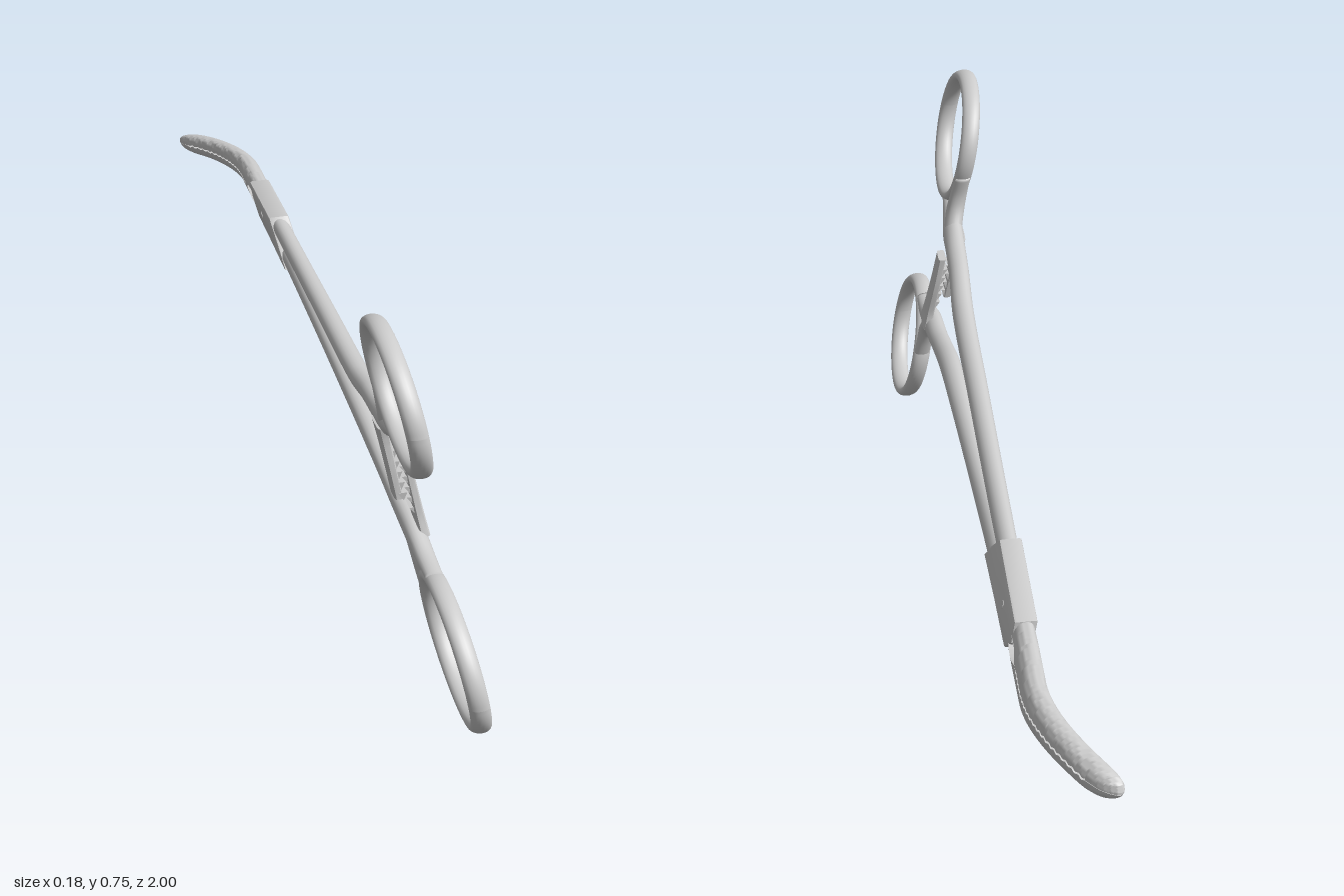
import * as THREE from 'three';
import { toCreasedNormals } from 'three/addons/utils/BufferGeometryUtils.js';

const steel = new THREE.MeshStandardMaterial({ color: 0xcccccc, roughness: 0.5, metalness: 0.1 });

// Everything is laid out flat in the z/y plane, then leaned over and curved at the tip.
function lean(geometry) {
  const p = geometry.attributes.position;
  for (let i = 0; i < p.count; i++) {
    const y = p.getY(i), z = p.getZ(i);
    const curve = 1.31 * Math.pow(Math.max(0, -0.74 - z), 1.83);
    p.setX(i, p.getX(i) + 0.073 - 0.2 * y - 0.018 * (z - 0.8) - curve);
  }
  geometry.computeVertexNormals();
  return geometry;
}

function add(parent, name, geometry, crease) {
  let g = lean(geometry);
  if (crease) g = toCreasedNormals(g, crease);
  const mesh = new THREE.Mesh(g, steel);
  mesh.name = name;
  parent.add(mesh);
  return mesh;
}

// Sweeps a superellipse along stations [z, y, half height, half thickness].
// trim(offset, z) may reshape the section in the plane of the tool.
function sweep(stations, { steps = 60, sides = 20, power = 2, closed = false, shift = 0, trim = (v) => v } = {}) {
  const path = new THREE.CatmullRomCurve3(stations.map((s) => new THREE.Vector3(0, s[1], s[0])), closed);
  const size = new THREE.CatmullRomCurve3(stations.map((s) => new THREE.Vector3(s[2], s[3], 0)), closed, 'catmullrom', 0.5);
  const pos = [], index = [];
  const rounded = (v) => Math.sign(v) * Math.pow(Math.abs(v), 2 / power);
  for (let i = 0; i <= steps; i++) {
    const c = path.getPoint(i / steps), t = path.getTangent(i / steps), s = size.getPoint(i / steps);
    for (let j = 0; j < sides; j++) {
      const a = (j / sides) * Math.PI * 2;
      const v = trim(s.x * rounded(Math.cos(a)), c.z);
      pos.push(shift + s.y * rounded(Math.sin(a)), c.y + t.z * v, c.z - t.y * v);
    }
  }
  for (let i = 0; i < steps; i++) {
    for (let j = 0; j < sides; j++) {
      const k = (j + 1) % sides, a = i * sides, b = a + sides;
      index.push(a + j, b + j, a + k, a + k, b + j, b + k);
    }
  }
  if (!closed) {
    const end = steps * sides;
    for (let j = 1; j < sides - 1; j++) index.push(0, j, j + 1, end, end + j + 1, end + j);
  }
  const g = new THREE.BufferGeometry();
  g.setAttribute('position', new THREE.Float32BufferAttribute(pos, 3));
  g.setIndex(index);
  return g;
}

// Stations of a tilted oval finger ring
function oval(z, y, a, b, tilt) {
  return Array.from({ length: 24 }, (_, i) => {
    const t = (i / 24) * Math.PI * 2, u = a * Math.cos(t), v = b * Math.sin(t);
    return [z + u * Math.cos(tilt) - v * Math.sin(tilt), y + u * Math.sin(tilt) + v * Math.cos(tilt), 0.0115, 0.0185];
  });
}

function ratchet(parent, name, stations, side, firstTooth) {
  add(parent, name + 'Bar', sweep(stations, { steps: 16, power: 5, shift: side * 0.014 }), 0.6);
  for (let i = 0; i < 5; i++) {
    const y = firstTooth + i * 0.02;
    const tooth = new THREE.CylinderGeometry(0.01, 0.01, 0.042, 3);
    tooth.rotateX(Math.PI / 2);
    tooth.translate(side * 0.007, y, 0.628 + (0.44 - y) * 0.15);
    add(parent, name + 'Tooth', tooth, 0.4);
  }
}

export function createModel() {
  const model = new THREE.Group();
  model.name = 'curvedLockingForceps';

  // Upper handle: finger ring, two webs and arm
  const upper = new THREE.Group();
  upper.name = 'upperHandle';
  add(upper, 'upperFingerRing', sweep(oval(0.79, 0.621, 0.147, 0.119, 0.1), { steps: 96, closed: true }));
  add(upper, 'upperArm', sweep([
    [0.74, 0.508, 0.009, 0.016], [0.69, 0.493, 0.015, 0.018], [0.635, 0.468, 0.024, 0.02], [0.57, 0.455, 0.019, 0.02],
    [0.5, 0.44, 0.018, 0.02], [0.38, 0.403, 0.019, 0.021], [0.1, 0.363, 0.018, 0.02],
    [-0.15, 0.328, 0.018, 0.019], [-0.36, 0.3, 0.018, 0.018], [-0.44, 0.29, 0.016, 0.016],
  ], { steps: 90 }));
  add(upper, 'upperWeb', sweep([
    [0.645, 0.585, 0.009, 0.016], [0.655, 0.54, 0.013, 0.018], [0.655, 0.505, 0.019, 0.019], [0.63, 0.462, 0.018, 0.018],
  ], { steps: 20 }));

  // Lower handle
  const lower = new THREE.Group();
  lower.name = 'lowerHandle';
  add(lower, 'lowerFingerRing', sweep(oval(0.843, 0.131, 0.146, 0.119, -0.06), { steps: 96, closed: true }));
  add(lower, 'lowerArm', sweep([
    [0.79, 0.247, 0.009, 0.016], [0.73, 0.245, 0.014, 0.018], [0.66, 0.253, 0.021, 0.02], [0.57, 0.259, 0.018, 0.02],
    [0.5, 0.267, 0.018, 0.02], [0.4, 0.277, 0.019, 0.021], [0.2, 0.274, 0.018, 0.02],
    [-0.02, 0.267, 0.018, 0.019], [-0.25, 0.26, 0.02, 0.019], [-0.42, 0.25, 0.02, 0.018],
  ], { steps: 90 }));
  add(lower, 'lowerWeb', sweep([
    [0.698, 0.155, 0.009, 0.016], [0.692, 0.195, 0.013, 0.018], [0.685, 0.225, 0.019, 0.019], [0.65, 0.256, 0.016, 0.018],
  ], { steps: 20 }));

  // Interlocking ratchet bars, side by side
  ratchet(upper, 'upperRatchet', [
    [0.626, 0.465, 0.03, 0.01], [0.63, 0.435, 0.025, 0.009], [0.637, 0.38, 0.024, 0.008], [0.643, 0.325, 0.022, 0.008],
  ], -1, 0.335);
  ratchet(lower, 'lowerRatchet', [
    [0.655, 0.255, 0.034, 0.01], [0.65, 0.29, 0.027, 0.009], [0.64, 0.35, 0.025, 0.008], [0.634, 0.415, 0.022, 0.008],
  ], 1, 0.305);

  // Flat-sided box joint with slanted ends; shape x becomes -z
  const outline = new THREE.Shape([
    [0.3, 0.243], [0.44, 0.233], [0.57, 0.221], [0.605, 0.25], [0.6, 0.283], [0.38, 0.315], [0.335, 0.278],
  ].map(([x, y]) => new THREE.Vector2(x, y)));
  const box = new THREE.ExtrudeGeometry(outline, {
    depth: 0.032, bevelEnabled: true, bevelSize: 0.004, bevelThickness: 0.005, bevelSegments: 2,
  });
  box.translate(0, 0, -0.016);
  box.rotateY(Math.PI / 2);
  add(model, 'boxJoint', box, 0.5);

  // Hinge pin, flush with both faces
  const pin = new THREE.CylinderGeometry(0.008, 0.008, 0.044, 16);
  pin.rotateZ(Math.PI / 2);
  pin.translate(0, 0.26, -0.5);
  add(model, 'hingePin', pin, 0.5);

  // Half-round jaws: one tapered body split along the middle, with an opening and serrations
  const jawBody = [
    [-0.54, 0.257, 0.034, 0.019], [-0.6, 0.25, 0.036, 0.021], [-0.68, 0.241, 0.034, 0.022], [-0.77, 0.23, 0.031, 0.022],
    [-0.85, 0.221, 0.028, 0.0225], [-0.91, 0.2125, 0.0255, 0.0235], [-0.96, 0.203, 0.023, 0.024],
    [-0.983, 0.198, 0.018, 0.019], [-0.994, 0.196, 0.011, 0.011], [-0.999, 0.195, 0.003, 0.003],
  ];
  for (const [name, side] of [['upperJaw', -1], ['lowerJaw', 1]]) {
    const gap = (z) => {
      const opening = Math.max(0, 1 - ((z + 0.622) / 0.045) ** 2) * 0.013;
      const teeth = z < -0.68 && z > -0.96 ? 0.0015 * (1 + side * Math.sin(z * 420)) : 0;
      return opening + teeth + 0.0004;
    };
    const trim = (v, z) => side * Math.max(v * side, gap(z));
    add(model, name, sweep(jawBody, { steps: 240, sides: 28, power: 2.4, trim }), 0.7);
  }

  model.add(upper, lower);
  return model;
}
